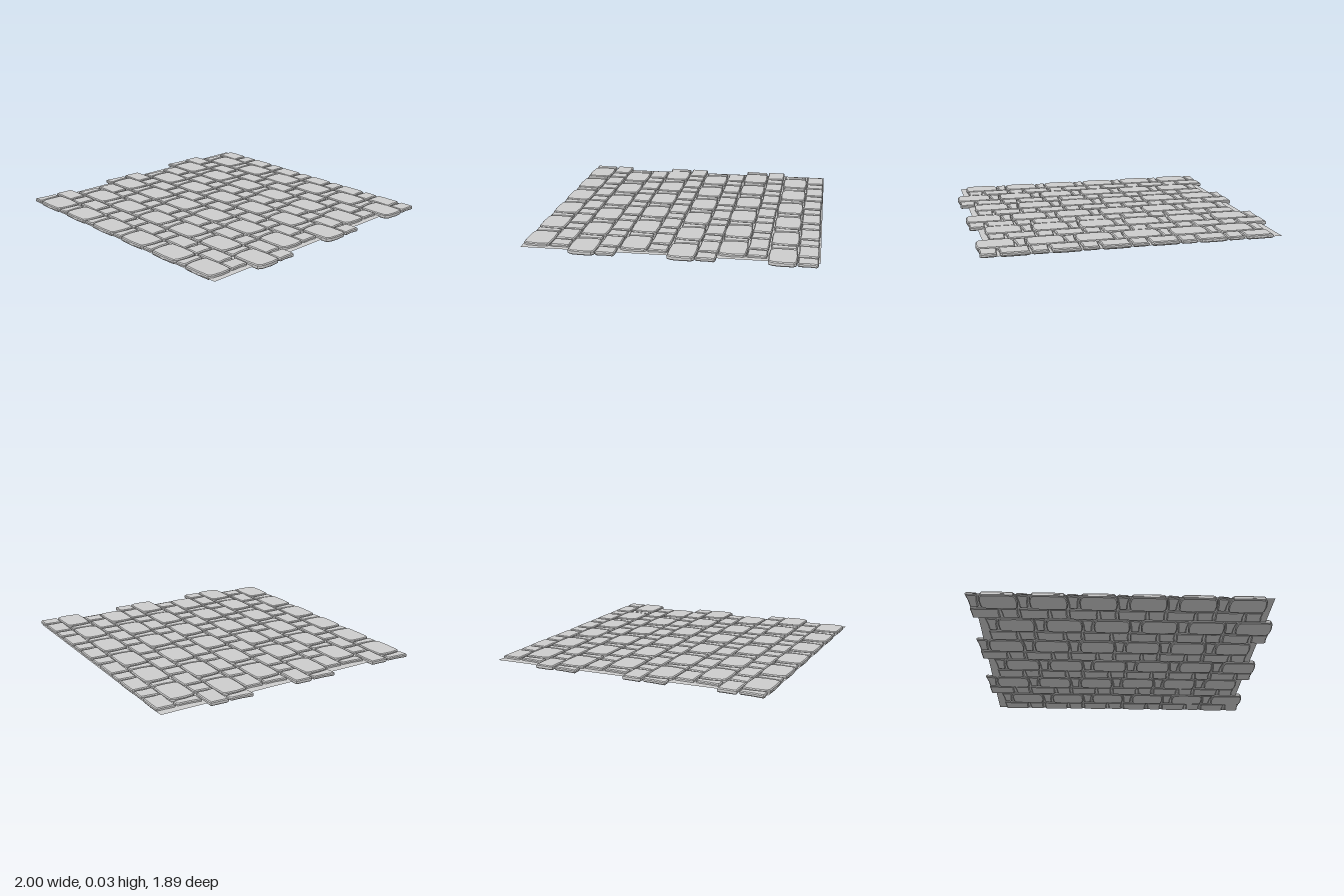
import * as THREE from 'three';

const PITCH = 0.3165; // spacing of the repeating four-stone unit, both ways
const BEVEL = 0.006;

// Outlines inside one unit: u to the right, v towards the front
const STONES = [
  { name: 'wideSmallStone', bottom: 0.001, top: 0.029, outline: [
    [0.016, 0.002], [0.1, 0], [0.184, 0.002], [0.196, 0.014], [0.192, 0.07],
    [0.197, 0.118], [0.188, 0.13], [0.1, 0.126], [0.016, 0.128], [0.01, 0.118], [0.014, 0.06]] },
  { name: 'narrowSmallStone', bottom: 0.003, top: 0.028, outline: [
    [0.216, 0.004], [0.26, 0.001], [0.312, 0.003], [0.32, 0.014], [0.313, 0.06],
    [0.316, 0.12], [0.306, 0.129], [0.25, 0.126], [0.21, 0.128], [0.205, 0.118], [0.212, 0.06]] },
  { name: 'narrowLargeStone', bottom: 0.004, top: 0.027, outline: [
    [0.02, 0.142], [0.058, 0.139], [0.068, 0.15], [0.068, 0.22], [0.076, 0.29],
    [0.068, 0.299], [0.01, 0.305], [0, 0.298], [0.011, 0.22], [0.014, 0.15]] },
  { name: 'wideLargeStone', bottom: 0, top: 0.03, outline: [
    [0.096, 0.135], [0.2, 0.129], [0.304, 0.134], [0.318, 0.15], [0.322, 0.21],
    [0.315, 0.278], [0.298, 0.307], [0.2, 0.311], [0.1, 0.307], [0.085, 0.285],
    [0.079, 0.23], [0.084, 0.16]] },
];

// Bevelled slab lying flat between two heights
function stoneGeometry({ outline, bottom, top }) {
  const shape = new THREE.Shape(outline.map(([u, v]) => new THREE.Vector2(u, v)));
  const geometry = new THREE.ExtrudeGeometry(shape, {
    depth: top - bottom - 2 * BEVEL,
    bevelEnabled: true,
    bevelThickness: BEVEL,
    bevelSize: BEVEL,
    bevelOffset: -BEVEL,
    bevelSegments: 1,
  });
  geometry.rotateX(Math.PI / 2);
  geometry.translate(0, top - BEVEL, 0);
  return geometry;
}

export function createModel() {
  const group = new THREE.Group();
  group.name = 'cobblestonePaving';
  const material = new THREE.MeshStandardMaterial({ color: 0xcccccc, side: THREE.DoubleSide });

  // Thin mortar sheet between the stones
  const sheet = new THREE.PlaneGeometry(1.89, 1.895);
  sheet.rotateX(-Math.PI / 2);
  const mortar = new THREE.Mesh(sheet, material);
  mortar.name = 'mortarSheet';
  mortar.position.set(-0.005, 0.012, -0.002);
  group.add(mortar);

  // Courses of stones, every other one shifted sideways
  const geometries = STONES.map(stoneGeometry);
  for (let row = 0; row < 6; row++) {
    const course = new THREE.Group();
    course.name = `stoneCourse${row + 1}`;
    course.position.set(row % 2 ? -1 : -0.907, 0, -0.948 + row * PITCH);
    for (let column = 0; column < 6; column++) {
      // the far courses step slightly towards the front on the left
      const step = row < 2 && column >= 2 + row ? 0.007 : 0;
      STONES.forEach(({ name }, i) => {
        const stone = new THREE.Mesh(geometries[i], material);
        stone.name = name;
        stone.position.set(column * PITCH, 0, step);
        course.add(stone);
      });
    }
    group.add(course);
  }
  return group;
}
